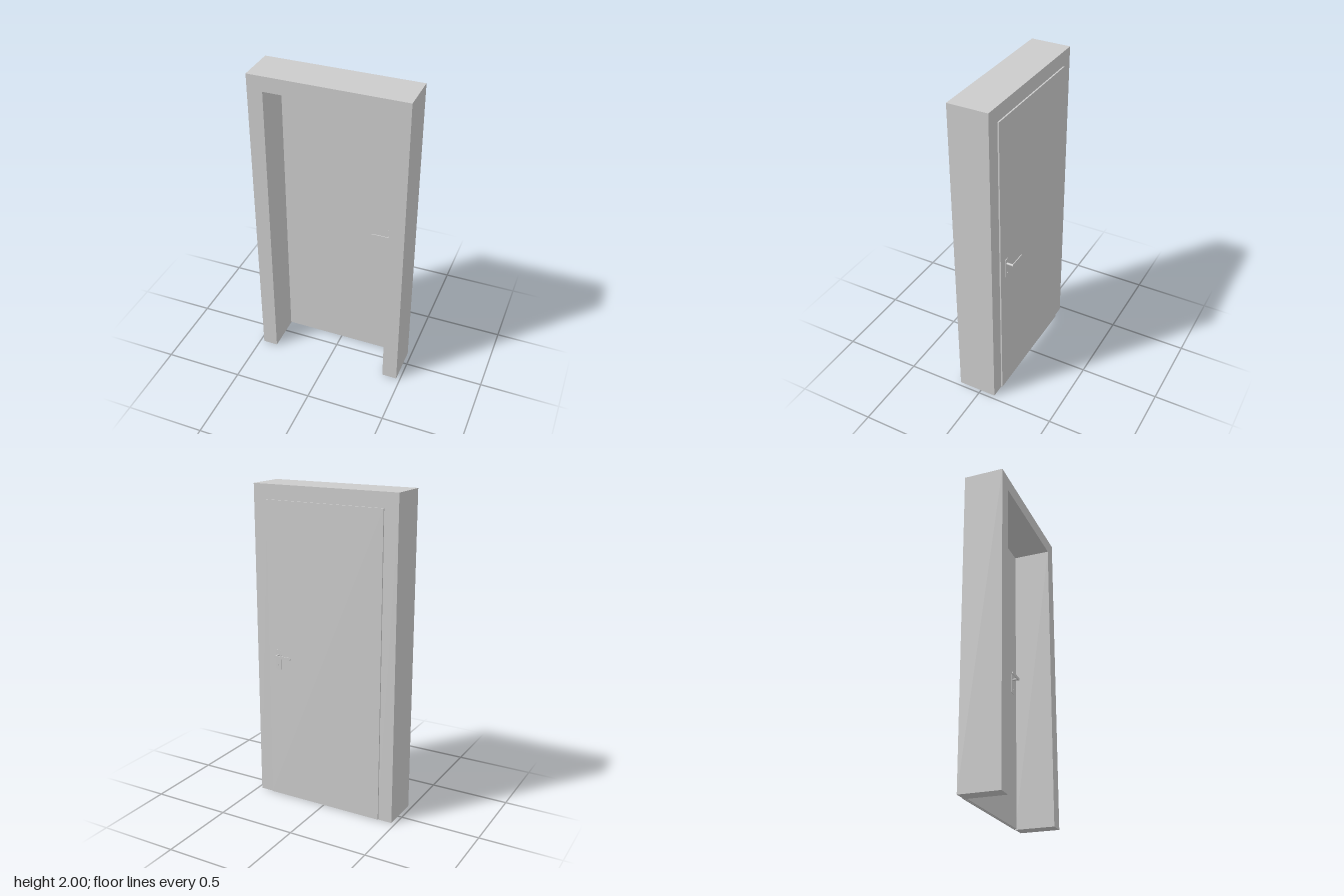
import * as THREE from 'three';

const material = new THREE.MeshStandardMaterial({ color: 0xcccccc });

function addMesh(parent, name, geometry, x = 0, y = 0, z = 0) {
  const mesh = new THREE.Mesh(geometry, material);
  mesh.name = name;
  mesh.position.set(x, y, z);
  parent.add(mesh);
  return mesh;
}

// Rounded rectangle centred on the origin
function roundedRect(w, h, r) {
  const x = w / 2 - r, y = h / 2 - r, s = new THREE.Shape();
  s.absarc(x, y, r, 0, Math.PI / 2);
  s.absarc(-x, y, r, Math.PI / 2, Math.PI);
  s.absarc(-x, -y, r, Math.PI, Math.PI * 1.5);
  s.absarc(x, -y, r, Math.PI * 1.5, Math.PI * 2);
  s.closePath();
  return s;
}

const extrude = (shape, depth) =>
  new THREE.ExtrudeGeometry(shape, { depth, bevelEnabled: false, curveSegments: 8 });

// Handle set pointing to +z, with its plate on z = 0
function createHandle(name) {
  const handle = new THREE.Group();
  handle.name = name;

  const plate = roundedRect(0.037, 0.13, 0.008);
  const keyhole = new THREE.Path();
  keyhole.absarc(0, -0.035, 0.005, 0, Math.PI * 2, true);
  plate.holes.push(keyhole);
  addMesh(handle, 'handlePlate', extrude(plate, 0.003), 0.317, 0.925, 0);

  const stem = new THREE.CylinderGeometry(0.007, 0.007, 0.044, 20).rotateX(Math.PI / 2);
  addMesh(handle, 'handleStem', stem, 0.317, 0.956, 0.022);

  const lever = roundedRect(0.119, 0.019, 0.0094);
  addMesh(handle, 'handleLever', extrude(lever, 0.005), 0.2655, 0.956, 0.04);
  return handle;
}

export function createModel() {
  const model = new THREE.Group();
  model.name = 'doorway';

  // Deep surround, open at the floor
  const outline = new THREE.Shape([
    [-0.475, 0], [-0.38, 0], [-0.38, 1.907], [0.38, 1.907],
    [0.38, 0], [0.475, 0], [0.475, 2], [-0.475, 2],
  ].map(([x, y]) => new THREE.Vector2(x, y)));
  addMesh(model, 'frame', extrude(outline, 0.248), 0, 0, -0.098);

  // Door leaf: core inside the opening, wider lip lapping the back of the frame
  addMesh(model, 'doorCore', new THREE.BoxGeometry(0.76, 1.902, 0.01), 0, 0.956, -0.094);
  addMesh(model, 'doorLip', new THREE.BoxGeometry(0.772, 1.907, 0.009), 0, 0.9565, -0.1025);

  // Levers on both faces
  const front = createHandle('frontHandle');
  front.position.z = -0.089;
  const back = createHandle('backHandle');
  back.rotation.y = Math.PI;
  back.position.z = -0.107;
  // Turned half round, so its parts are moved to stay at the lock side
  back.children.forEach((part) => {
    part.position.x *= -1;
  });
  model.add(front, back);
  return model;
}
